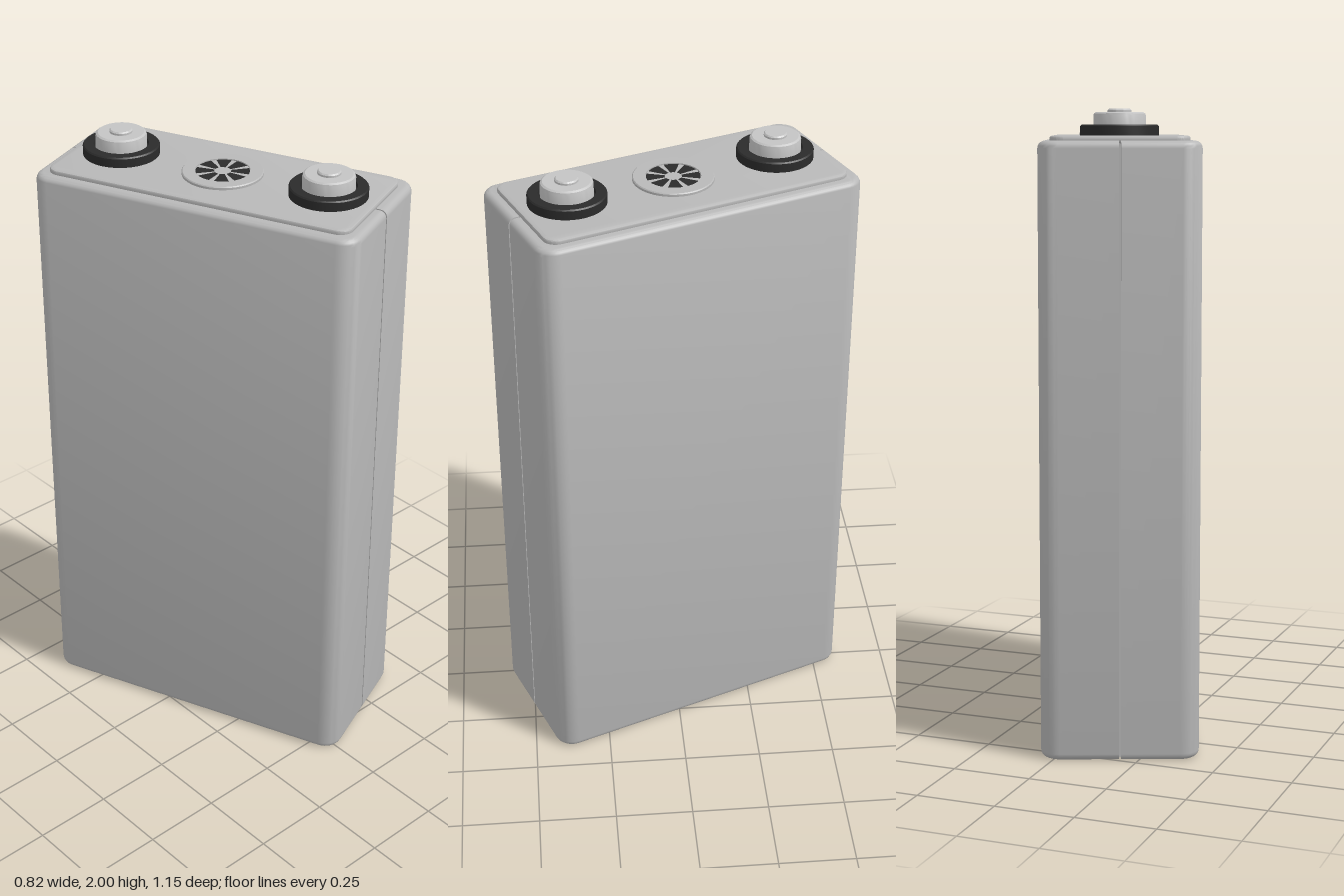
import * as THREE from 'three';
import { toCreasedNormals } from 'three/addons/utils/BufferGeometryUtils.js';

const HALF_W = 0.247, HALF_L = 0.54, CORNER = 0.06, EDGE = 0.022, TOP = 1.905, GAP = 0.003;

const material = (name, color) => {
  const m = new THREE.MeshStandardMaterial({ color });
  m.name = name;
  return m;
};

// Half of the case: stacked outlines, rounded on the outer side, flat at the seam
function halfCaseGeometry() {
  const outline = (inset) => {
    const pts = [[GAP, -HALF_L + inset]];
    for (const side of [-1, 1]) {
      for (let i = 0; i <= 8; i++) {
        const a = (side < 0 ? -Math.PI / 2 : 0) + (i / 8) * Math.PI / 2;
        pts.push([HALF_W - CORNER + (CORNER - inset) * Math.cos(a),
          side * (HALF_L - CORNER) + (CORNER - inset) * Math.sin(a)]);
      }
    }
    pts.push([GAP, HALF_L - inset]);
    return pts;
  };
  const rings = [];
  for (const end of [0, 1]) {
    for (let i = 0; i <= 5; i++) {
      const a = (end ? i / 5 : 1 - i / 5) * Math.PI / 2;
      const rise = EDGE * (1 - Math.sin(a));
      rings.push({ inset: EDGE * (1 - Math.cos(a)), y: end ? TOP - rise - 0 : rise });
    }
  }
  // the upper end rises with the angle
  for (let i = 6; i < 12; i++) {
    rings[i].y = TOP - EDGE + EDGE * Math.sin(((i - 6) / 5) * Math.PI / 2);
  }
  const pos = [], index = [];
  for (const r of rings) for (const [x, z] of outline(r.inset)) pos.push(x, r.y, z);
  const n = outline(0).length, last = (rings.length - 1) * n;
  for (let j = 0; j < rings.length - 1; j++) {
    for (let i = 0; i < n; i++) {
      const a = j * n + i, b = j * n + (i + 1) % n;
      index.push(a, a + n, b, b, a + n, b + n);
    }
  }
  for (let i = 1; i < n - 1; i++) {
    index.push(0, i, i + 1, last, last + i + 1, last + i);
  }
  const g = new THREE.BufferGeometry();
  g.setAttribute('position', new THREE.Float32BufferAttribute(pos, 3));
  g.setIndex(index);
  return toCreasedNormals(g, 0.6);
}

function roundedRect(w, l, r) {
  const s = new THREE.Shape();
  s.absarc(w - r, l - r, r, 0, Math.PI / 2);
  s.absarc(-w + r, l - r, r, Math.PI / 2, Math.PI);
  s.absarc(-w + r, -l + r, r, Math.PI, Math.PI * 1.5);
  s.absarc(w - r, -l + r, r, Math.PI * 1.5, Math.PI * 2);
  return s;
}

// Turned part from [radius, height] pairs, bottom to top
const turned = (points) => toCreasedNormals(
  new THREE.LatheGeometry(points.map(([r, y]) => new THREE.Vector2(r, y)), 48), 0.5);

export function createModel() {
  const model = new THREE.Group();
  model.name = 'batteryCell';
  const caseGrey = material('case grey', 0xb8b8b8);
  const metal = material('terminal metal', 0xc4c4c4);
  const black = material('black rubber', 0x2b2b2b);

  const cell = new THREE.Group();
  cell.name = 'cell';
  cell.rotation.y = 0.378;
  model.add(cell);

  const add = (name, geometry, mat, x = 0, y = 0, z = 0, parent = cell) => {
    const mesh = new THREE.Mesh(geometry, mat);
    mesh.name = name;
    mesh.position.set(x, y, z);
    parent.add(mesh);
    return mesh;
  };

  // Two case halves with a narrow seam, closed by a recessed strip
  const half = halfCaseGeometry();
  add('leftCaseHalf', half, caseGrey);
  add('rightCaseHalf', half, caseGrey).rotation.y = Math.PI;
  add('seamFloor', new THREE.BoxGeometry(0.02, TOP - 0.02, HALF_L * 2 - 0.02), caseGrey, 0, TOP / 2, 0);

  // Raised lid panel with a bevelled rim
  const lid = new THREE.ExtrudeGeometry(roundedRect(HALF_W - 0.048, HALF_L - 0.048, 0.03), {
    depth: 0.012, bevelEnabled: true, bevelThickness: 0.006, bevelSize: 0.012,
    bevelSegments: 3, curveSegments: 8,
  });
  lid.rotateX(-Math.PI / 2);
  add('lidPanel', toCreasedNormals(lid, 0.5), caseGrey, 0, 1.902, 0);

  // Terminals: rubber washer, metal post and centre boss
  for (const side of [-1, 1]) {
    const terminal = new THREE.Group();
    terminal.name = side > 0 ? 'frontTerminal' : 'backTerminal';
    terminal.position.z = side * 0.352;
    cell.add(terminal);
    add('washer', turned([[0.12, 1.915], [0.12, 1.948], [0.116, 1.952], [0.086, 1.952], [0.084, 1.94], [0, 1.94]]),
      black, 0, 0, 0, terminal);
    add('post', turned([[0.08, 1.93], [0.08, 1.98], [0.078, 1.986], [0.072, 1.99], [0, 1.99]]),
      metal, 0, 0, 0, terminal);
    add('boss', turned([[0.036, 1.985], [0.036, 1.996], [0.032, 2], [0, 2]]), metal, 0, 0, 0, terminal);
  }

  // Central vent: collar, disc and dark radial slots
  add('ventCollar', turned([[0.126, 1.915], [0.126, 1.927], [0.123, 1.93], [0.085, 1.93], [0.085, 1.926], [0, 1.926]]),
    caseGrey);
  for (let i = 0; i < 8; i++) {
    const slot = new THREE.Shape();
    const a = (i / 8) * Math.PI * 2 - cell.rotation.y, spread = Math.PI / 11;
    slot.absarc(0, 0, 0.083, a - spread, a + spread, false);
    slot.absarc(0, 0, 0.026, a + spread, a - spread, true);
    const g = new THREE.ShapeGeometry(slot, 6);
    g.rotateX(-Math.PI / 2);
    add('ventSlot', g, black, 0, 1.9275, 0);
  }
  return model;
}
